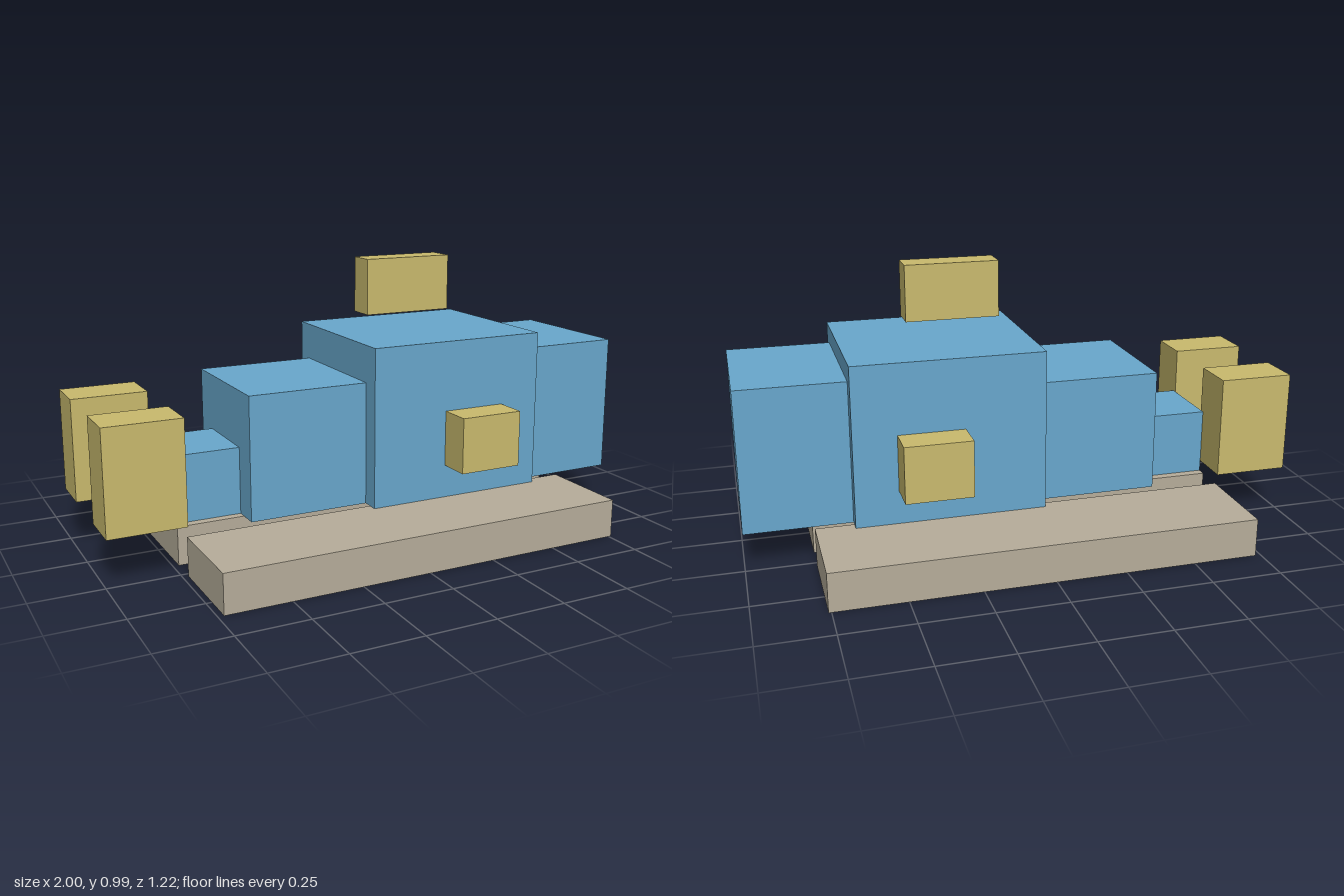
import * as THREE from 'three';

export function createModel() {
  const model = new THREE.Group();
  model.name = 'blockFish';
  const paint = (name, color) => {
    const m = new THREE.MeshStandardMaterial({ color });
    m.name = name;
    return m;
  };
  const blue = paint('body blue', 0x69a8cd);
  const gold = paint('fin gold', 0xcabb6e);
  const stone = paint('base grey', 0xb7ae9b);

  // Axis-aligned block given by its extents
  function block(name, material, [x0, x1], [y0, y1], [z0, z1]) {
    const mesh = new THREE.Mesh(new THREE.BoxGeometry(x1 - x0, y1 - y0, z1 - z0), material);
    mesh.position.set((x0 + x1) / 2, (y0 + y1) / 2, (z0 + z1) / 2);
    mesh.name = name;
    model.add(mesh);
  }

  // Base: three parallel slats
  for (const [name, z] of [['leftSlat', -0.44], ['middleSlat', 0], ['rightSlat', 0.44]]) {
    block(name, stone, [-0.73, 0.76], [0, 0.138], [z - 0.169, z + 0.169]);
  }

  // Body: stepped blocks from tail to head
  const body = [
    ['tailStem', -0.73, -0.49, 0.377, 0.137],
    ['rearBody', -0.49, -0.052, 0.58, 0.238],
    ['mainBody', -0.052, 0.625, 0.713, 0.305],
    ['head', 0.625, 1, 0.647, 0.254],
  ];
  for (const [name, x0, x1, top, half] of body) {
    block(name, blue, [x0, x1], [0.138, top], [-half, half]);
  }

  // Floating top fin
  block('topFin', gold, [0.05, 0.387], [0.783, 0.985], [-0.051, 0.051]);

  // Mirrored side fins and tail lobes
  for (const [side, s] of [['left', -1], ['right', 1]]) {
    const span = (a, b) => [s * a, s * b].sort((p, q) => p - q);
    block(side + 'SideFin', gold, [0.235, 0.472], [0.258, 0.46], span(0.305, 0.424));
    block(side + 'TailLobe', gold, [-1, -0.73], [0.178, 0.546], span(0.119, 0.288));
  }
  return model;
}
